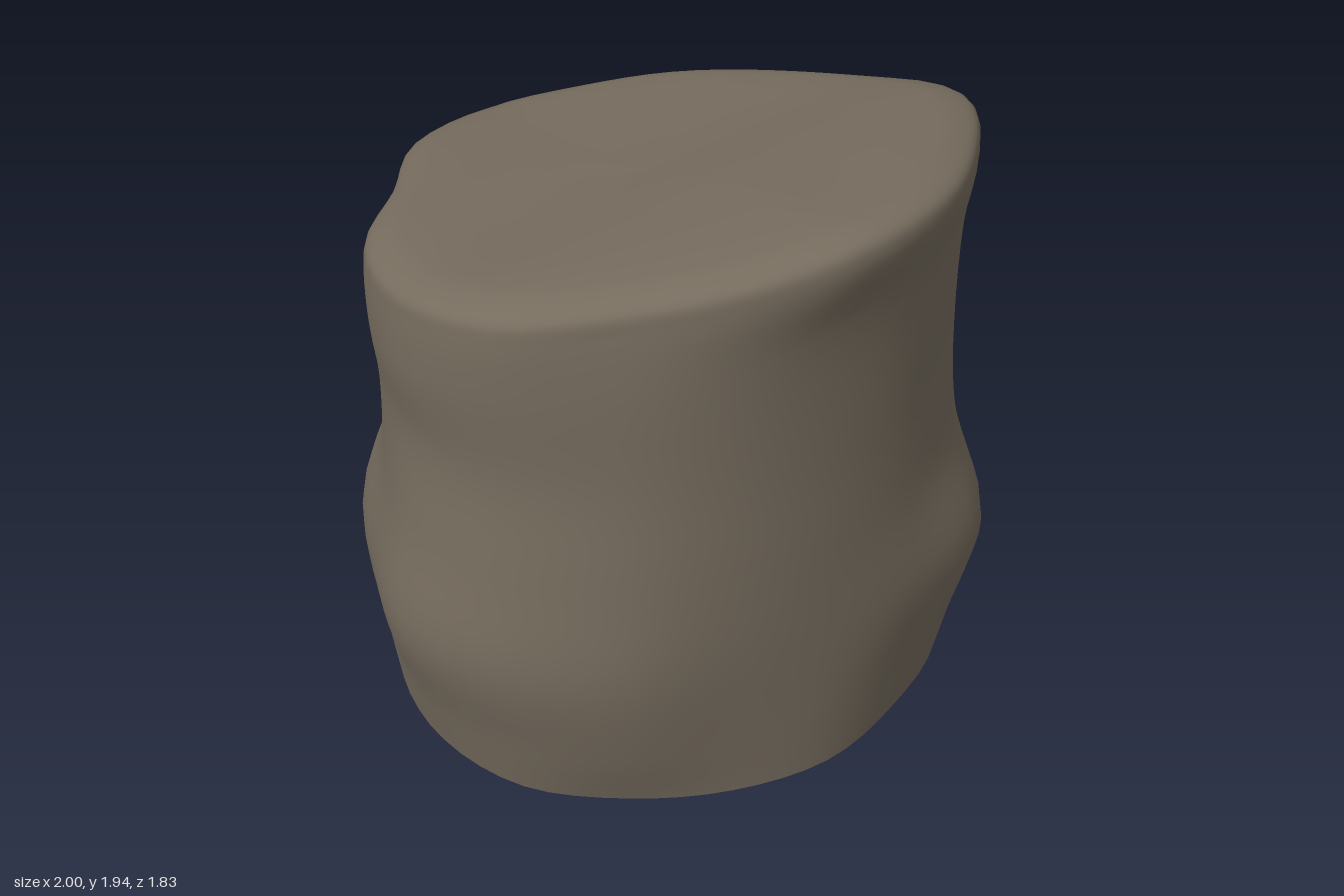
import * as THREE from 'three';
import { mergeVertices } from 'three/addons/utils/BufferGeometryUtils.js';

// Cross-sections: 16 radii each, going round from +x towards +z.
const SECTIONS = [
  { y: 0, r: [.89, .92, .95, .88, .86, .83, .83, .87, .87, .86, .85, .85, .83, .79, .775, .84] },
  { y: .21, r: [.92, .97, 1, .9, .865, .85, .89, .92, .92, .89, .91, .92, .89, .8, .8, .86] },
  { y: .53, r: [.99, 1.035, 1.07, .93, .865, .87, .94, .99, 1, .93, .95, .965, .9, .815, .835, .875] },
  { y: .88, r: [.94, .98, .96, .89, .855, .865, .92, .96, .94, .87, .85, .87, .855, .8, .805, .87] },
  { y: 1.2, r: [.915, .95, .93, .875, .845, .855, .895, .93, .905, .86, .83, .85, .845, .8, .805, .86] },
];
const NECK = [.915, .95, .93, .885, .855, .86, .89, .95, .935, .88, .82, .86, .86, .805, .825, .87];
const LIP = [.945, 1.015, .955, .93, .905, .87, .875, .95, .93, .88, .79, .85, .855, .815, .835, .87];

// The top slopes down to the back, with a gentle step across it and a twist on the -x side.
const topHeight = (x, z) =>
  1.785 + 0.13 * z + 0.025 * z * z + 0.035 * x + 0.03 * Math.tanh(5 * (z - 0.12)) + 0.1 * Math.min(x, 0) * z;

const AROUND = 64, STEPS = 5;

// Smooth closed outline through a ring of radii, at the height given for each point.
function ring(radii, heightAt, scale = 1) {
  const pts = radii.map((r, i) => {
    const a = i / radii.length * Math.PI * 2;
    return new THREE.Vector3(Math.cos(a) * r * scale, 0, Math.sin(a) * r * scale);
  });
  const curve = new THREE.CatmullRomCurve3(pts, true);
  return Array.from({ length: AROUND }, (_, i) => {
    const p = curve.getPoint(i / AROUND);
    p.y = heightAt(p.x, p.z);
    return p;
  });
}

function rockGeometry() {
  const below = (d) => (x, z) => topHeight(x, z) - d;
  const rings = [
    ...SECTIONS.map((s) => ring(s.r, () => s.y)),
    ring(NECK, below(0.3)),
    ring(LIP, below(0.11)),
    ring(LIP, below(0.045), 0.985),
    ring(LIP, below(0.01), 0.91),
    ring(LIP, below(0), 0.8),
    ring(LIP, below(0), 0.55),
    ring(LIP, below(0), 0.28),
    ring(LIP, below(0), 0.001),
  ];
  // Blend the rings upward, one column at a time
  const rows = (rings.length - 1) * STEPS;
  const pos = [], index = [];
  for (let i = 0; i < AROUND; i++) {
    const column = new THREE.CatmullRomCurve3(rings.map((ringPts) => ringPts[i]));
    column.getPoints(rows).forEach((p) => pos.push(p.x, Math.max(p.y, 0), p.z));
  }
  const n = rows + 1;
  for (let i = 0; i < AROUND; i++) {
    const a = i * n, b = ((i + 1) % AROUND) * n;
    for (let j = 0; j < rows; j++) {
      index.push(a + j, a + j + 1, b + j, b + j, a + j + 1, b + j + 1);
    }
  }
  const geo = new THREE.BufferGeometry();
  geo.setAttribute('position', new THREE.Float32BufferAttribute(pos, 3));
  geo.setIndex(index);
  const merged = mergeVertices(geo, 0.0001);
  merged.computeVertexNormals();
  return merged;
}

export function createModel() {
  const group = new THREE.Group();
  group.name = 'rockPillar';
  // Hollow shell, open underneath
  const stone = new THREE.MeshStandardMaterial({ color: 0x766c5e, side: THREE.DoubleSide });
  stone.name = 'brown grey stone';
  const rock = new THREE.Mesh(rockGeometry(), stone);
  rock.name = 'rock';
  group.add(rock);
  return group;
}
